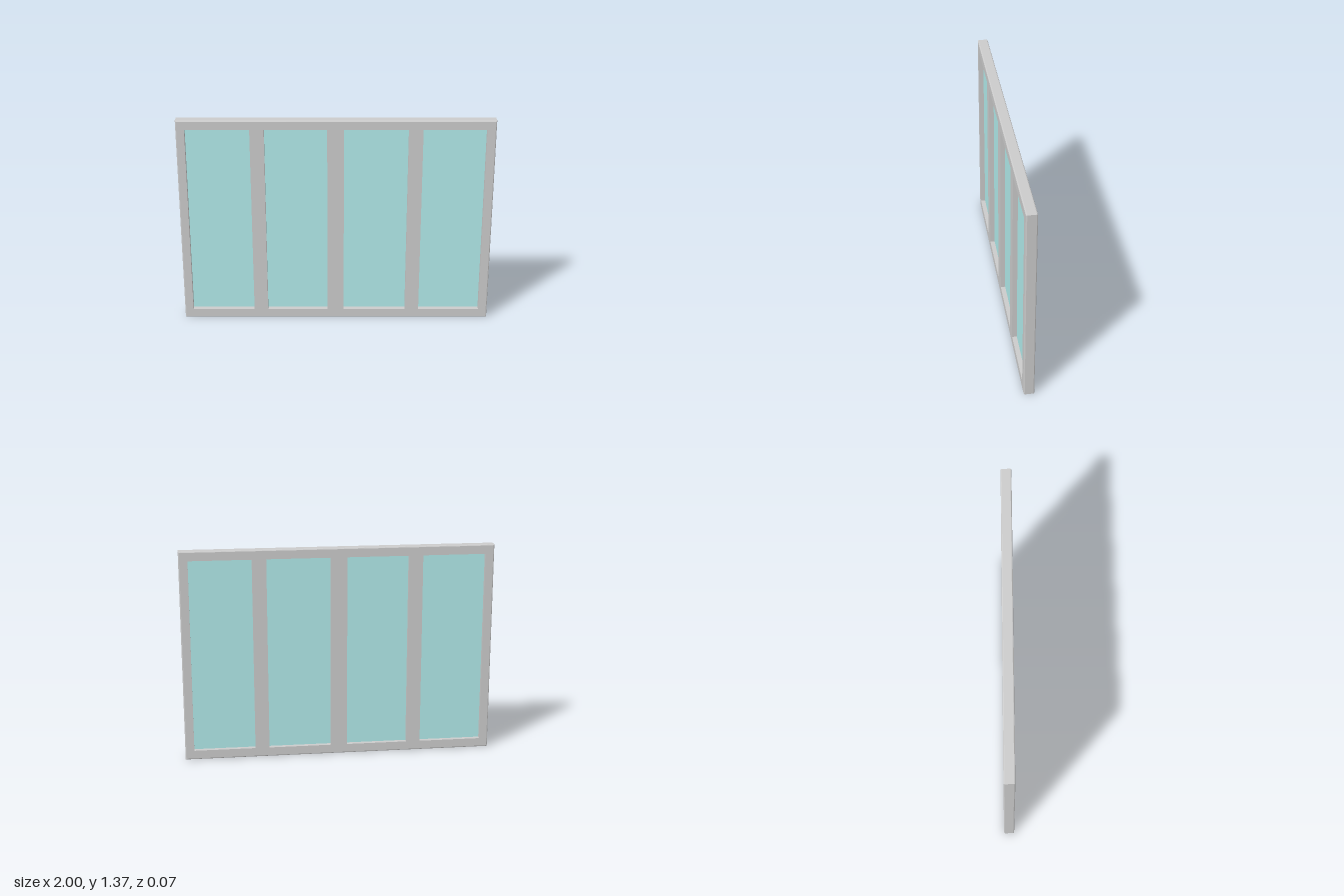
import * as THREE from 'three';

const W = 2, H = 1.37, D = 0.068, BEVEL = 0.007;
const SILL = 0.06, HEAD = 1.31;
const OPENINGS = [[-0.945, -0.54], [-0.45, -0.055], [0.05, 0.455], [0.545, 0.942]];

// Corners of an upright rectangle, anticlockwise from the front
const corners = (x0, x1, y0, y1) => [[x0, y0], [x1, y0], [x1, y1], [x0, y1]];
const points = (list) => list.map(([x, y]) => new THREE.Vector2(x, y));

// Softened outer edge: a profile of [inset, z] carried round the perimeter
function rimGeometry() {
  const h = D / 2, m = BEVEL * 0.3;
  const profile = [[BEVEL, h], [m, h - m], [0, h - BEVEL], [0, BEVEL - h], [m, m - h], [BEVEL, -h]];
  const pos = [];
  for (let i = 0; i < profile.length - 1; i++) {
    const [a, za] = profile[i], [b, zb] = profile[i + 1];
    const front = corners(a - W / 2, W / 2 - a, a, H - a);
    const back = corners(b - W / 2, W / 2 - b, b, H - b);
    for (let k = 0; k < 4; k++) {
      const n = (k + 1) % 4;
      const f0 = [...front[k], za], f1 = [...front[n], za];
      const b0 = [...back[k], zb], b1 = [...back[n], zb];
      pos.push(...f0, ...b0, ...b1, ...f0, ...b1, ...f1);
    }
  }
  const g = new THREE.BufferGeometry();
  g.setAttribute('position', new THREE.Float32BufferAttribute(pos, 3));
  g.computeVertexNormals();
  return g;
}

export function createModel() {
  const model = new THREE.Group();
  model.name = 'window';
  const frameMat = new THREE.MeshStandardMaterial({ color: 0xcccccc });
  const glassMat = new THREE.MeshStandardMaterial({ color: 0xb1ebeb });
  const add = (geometry, material, name) => {
    const mesh = new THREE.Mesh(geometry, material);
    mesh.name = name;
    model.add(mesh);
    return mesh;
  };

  // Frame and mullions: front and back faces and opening reveals
  const face = new THREE.Shape(points(corners(BEVEL - W / 2, W / 2 - BEVEL, BEVEL, H - BEVEL)));
  for (const [x0, x1] of OPENINGS) {
    face.holes.push(new THREE.Path(points(corners(x0, x1, SILL, HEAD).reverse())));
  }
  const frame = new THREE.ExtrudeGeometry(face, { depth: D, bevelEnabled: false });
  frame.translate(0, 0, -D / 2);
  add(frame, frameMat, 'frame');
  add(rimGeometry(), frameMat, 'frameOuterEdge');

  // Glass panes set midway in the frame
  OPENINGS.forEach(([x0, x1], i) => {
    const pane = add(new THREE.BoxGeometry(x1 - x0, HEAD - SILL, 0.008), glassMat, `glassPane${i + 1}`);
    pane.position.set((x0 + x1) / 2, (SILL + HEAD) / 2, 0);
  });

  return model;
}
